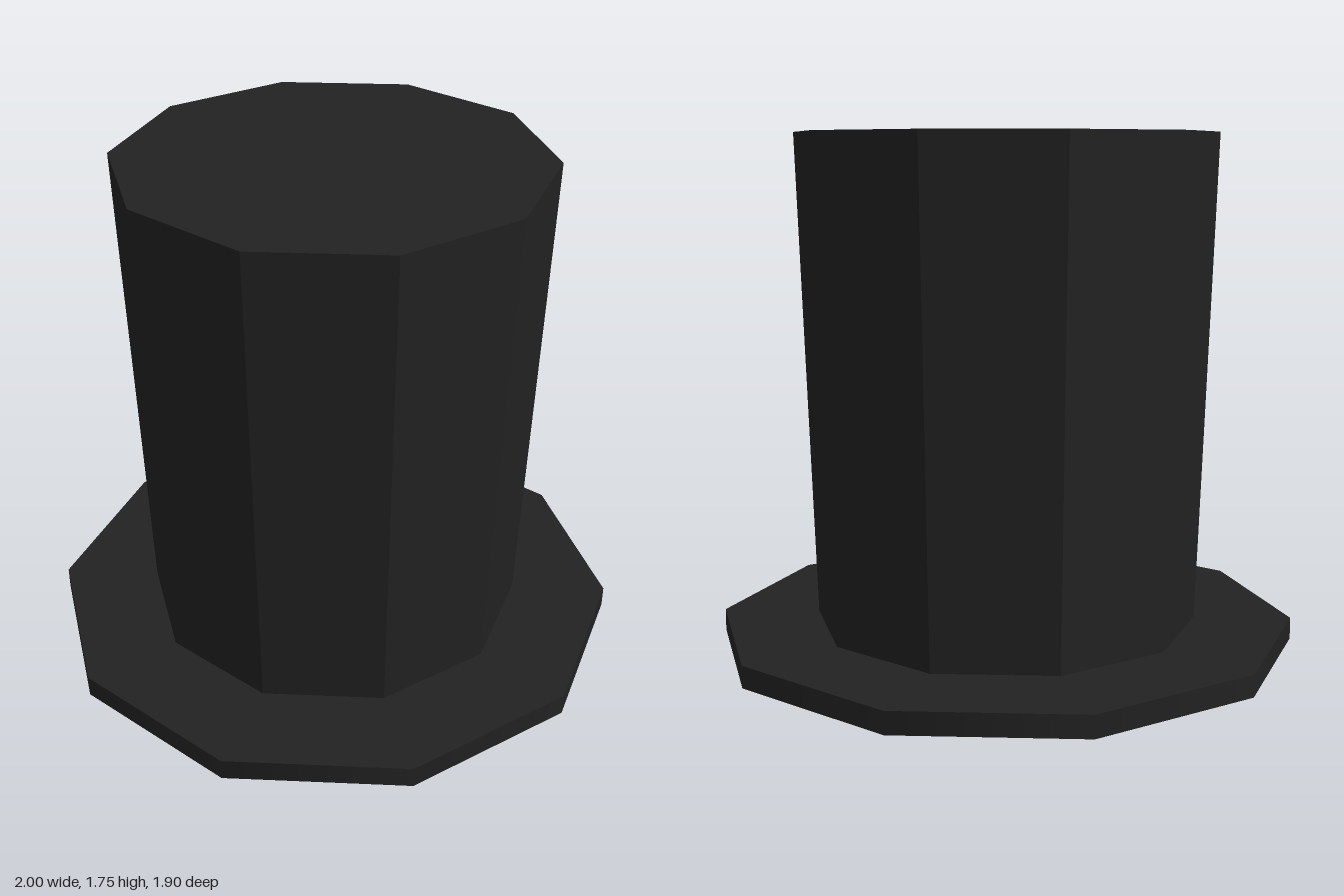
import * as THREE from 'three';

const SIDES = 10;

export function createModel() {
  const hat = new THREE.Group();
  hat.name = 'topHat';

  const felt = new THREE.MeshStandardMaterial({ color: 0x222222 });
  felt.name = 'black felt';
  const facetedFelt = felt.clone();
  facetedFelt.flatShading = true;

  // Ten-sided tapered drum with corners on the x axis
  function addDrum(name, topRadius, bottomRadius, y0, y1, material) {
    const geometry = new THREE.CylinderGeometry(
      topRadius, bottomRadius, y1 - y0, SIDES, 1, false, Math.PI / 2);
    const mesh = new THREE.Mesh(geometry, material);
    mesh.name = name;
    mesh.position.y = (y0 + y1) / 2;
    hat.add(mesh);
  }

  // Thin brim with a softly shaded rim
  addDrum('brim', 1, 1, 0, 0.075, felt);
  // Tall faceted crown, flaring towards the flat top
  addDrum('crown', 0.72, 0.663, 0.07, 1.755, facetedFelt);

  return hat;
}
